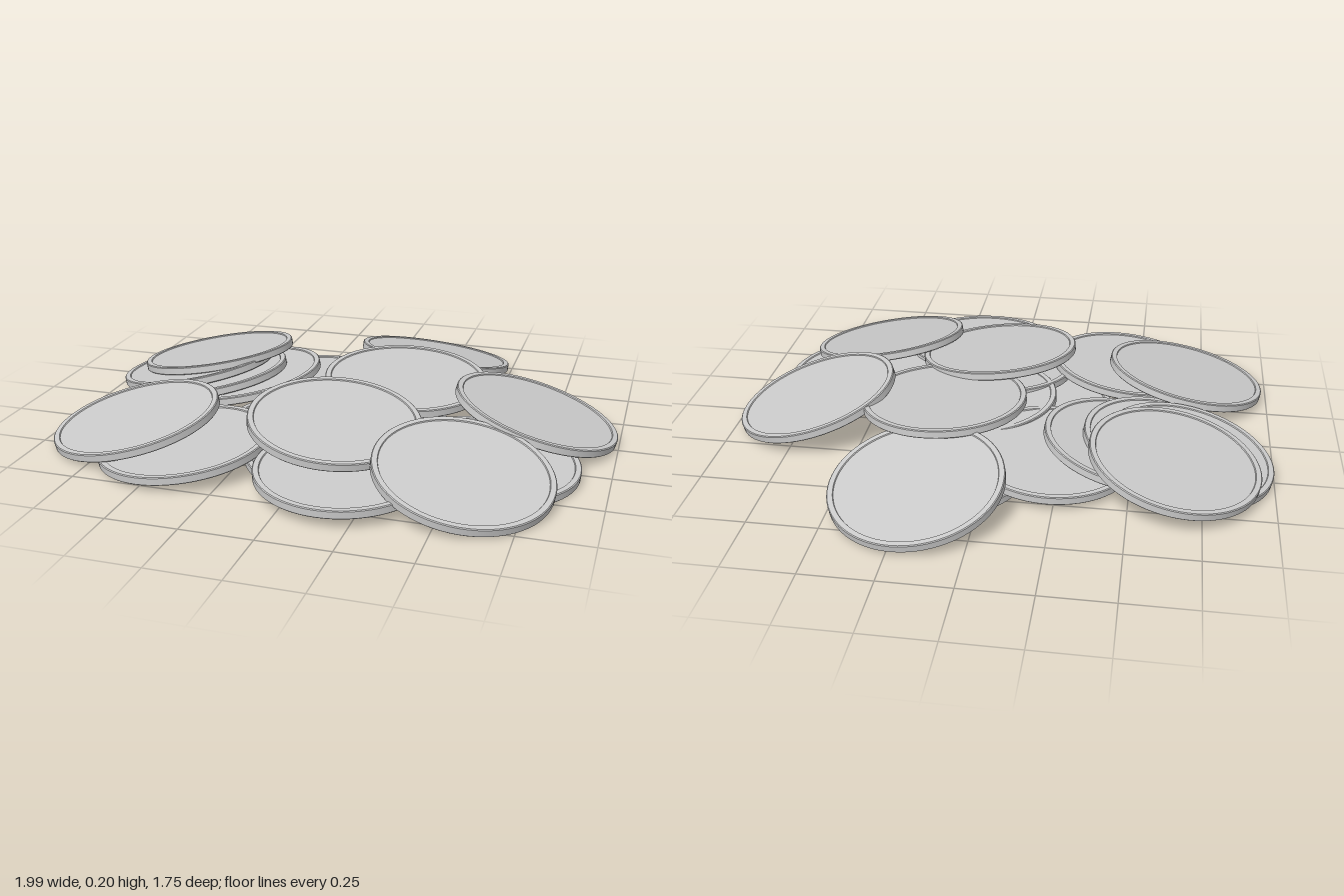
import * as THREE from 'three';
import { toCreasedNormals } from 'three/addons/utils/BufferGeometryUtils.js';

const R = 0.303;    // disc radius
const H = 0.015;    // half thickness
const RIM = 0.021;  // width of the raised rim
const DIP = 0.004;  // depth of the recessed face

// Disc profile: recessed faces, raised rims and slightly rounded outer edges
function discGeometry() {
  const b = 0.003;
  const lower = [
    [0, -H + DIP], [R - RIM - 0.002, -H + DIP], [R - RIM, -H],
    [R - b, -H], [R, -H + b],
  ];
  const upper = lower.map(([r, y]) => [r, -y]).reverse();
  const points = [...lower, ...upper].map(([r, y]) => new THREE.Vector2(r, y));
  return toCreasedNormals(new THREE.LatheGeometry(points, 72), 0.5);
}

// Each disc: name, centre x, y, z, then rise per unit along x and along z
const DISCS = [
  // lowest layer
  ['groundCoinCentre', -0.115, 0.016, 0.13, 0, 0],
  ['groundCoinBack', 0.155, 0.03, -0.34, 0, 0.04],
  // middle layer
  ['lowCoinCentre', 0.11, 0.053, 0.13, -0.05, 0],
  ['lowCoinBackRight', -0.215, 0.052, -0.24, 0.04, 0.03],
  ['lowCoinMiddle', 0.07, 0.058, 0.42, 0, -0.06],
  ['lowCoinFront', 0.155, 0.068, 0.57, 0, -0.06],
  ['lowCoinFrontLeft', 0.6, 0.05, 0.31, -0.1, -0.04],
  ['lowCoinFrontRight', -0.45, 0.055, 0.49, 0.1, -0.05],
  // leaning stack on the right-hand side
  ['stackCoinFirst', -0.48, 0.073, -0.17, 0.17, -0.02],
  ['stackCoinSecond', -0.62, 0.071, -0.16, 0.18, 0.02],
  ['stackCoinThird', -0.7, 0.079, -0.22, 0.2, 0.04],
  ['stackCoinTop', -0.65, 0.104, -0.32, 0.18, 0.07],
  // top layer, sloping outwards around the heap
  ['topCoinBack', 0.205, 0.092, -0.575, -0.1, 0.2],
  ['topCoinCentre', 0.2, 0.155, -0.085, -0.04, -0.06],
  ['topCoinLeft', 0.7, 0.1, -0.03, -0.28, 0.05],
  ['topCoinFront', 0.06, 0.146, 0.365, -0.1, -0.11],
  ['topCoinFrontLeft', 0.545, 0.088, 0.53, -0.17, -0.17],
  ['topCoinFrontRight', -0.68, 0.08, 0.39, 0.19, -0.1],
];

export function createModel() {
  const group = new THREE.Group();
  group.name = 'coinPile';
  const geometry = discGeometry();
  const material = new THREE.MeshStandardMaterial({ color: 0xcccccc });
  const up = new THREE.Vector3(0, 1, 0);

  for (const [name, x, y, z, slopeX, slopeZ] of DISCS) {
    const coin = new THREE.Mesh(geometry, material);
    coin.name = name;
    coin.position.set(x, y, z);
    const normal = new THREE.Vector3(-slopeX, 1, -slopeZ).normalize();
    coin.quaternion.setFromUnitVectors(up, normal);
    group.add(coin);
  }
  return group;
}
